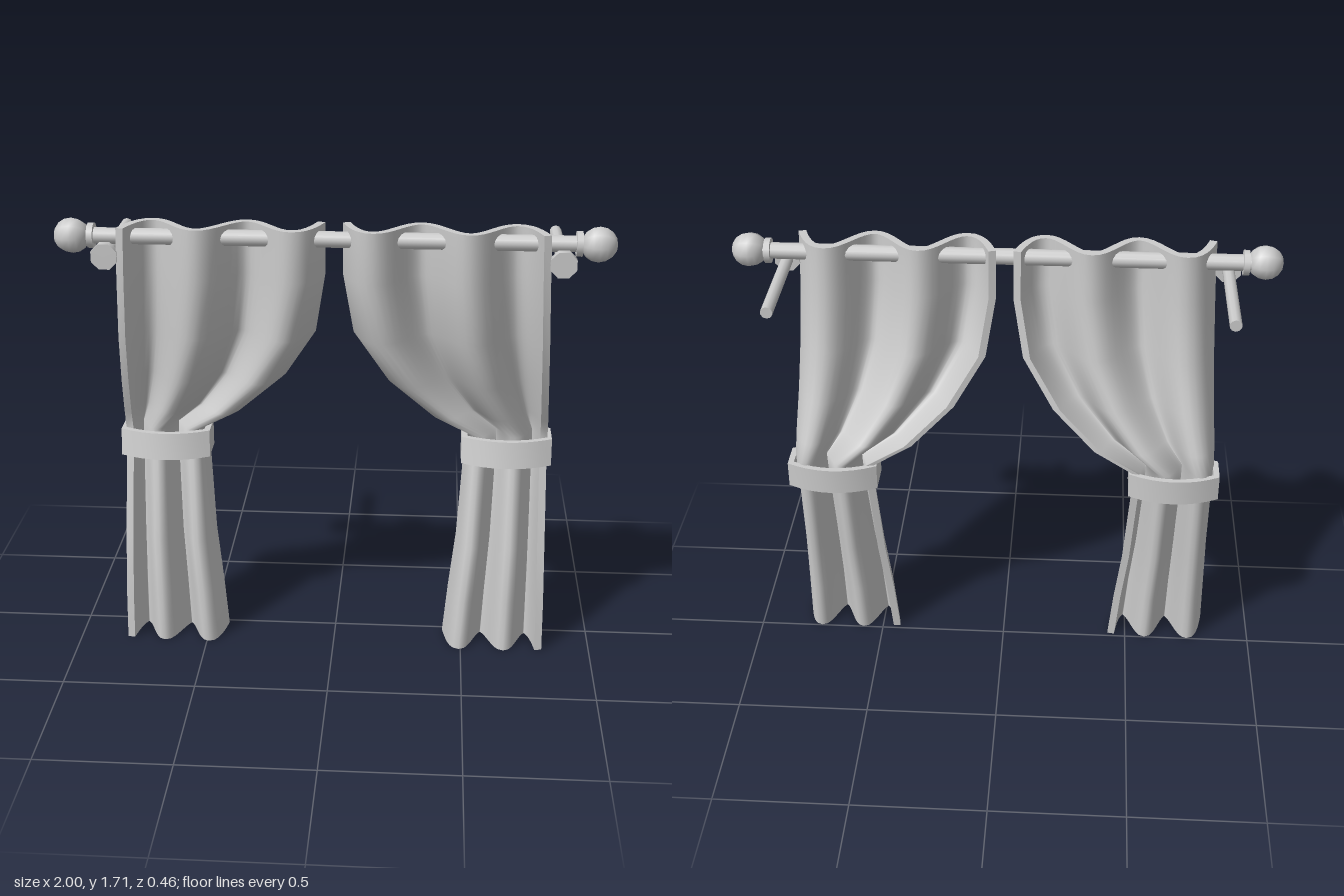
import * as THREE from 'three';
import { mergeGeometries, toCreasedNormals } from 'three/addons/utils/BufferGeometryUtils.js';

const grey = new THREE.MeshStandardMaterial({ color: 0xcccccc });

// Curtain rows from top to floor: [y, outer x, inner x, centre z, fold depth]
const ROWS = [
  [1.69, 0.75, 0.045, 0.148, 0.066], [1.5, 0.757, 0.045, 0.146, 0.066],
  [1.27, 0.768, 0.083, 0.118, 0.065], [1.08, 0.778, 0.2, 0.062, 0.062],
  [0.93, 0.787, 0.36, 0.004, 0.054], [0.85, 0.79, 0.505, -0.022, 0.046],
  [0.75, 0.79, 0.505, -0.005, 0.05], [0.42, 0.795, 0.485, 0.052, 0.066],
  [0.2, 0.8, 0.46, 0.075, 0.069], [0, 0.803, 0.442, 0.085, 0.069],
];
const FOLDS = [0, 0.14, 0.38, 0.62, 0.86, 1]; // crests and troughs across the width
const STEPS = 8;
const HALF = 0.014; // half the cloth thickness

function add(parent, name, geometry, x = 0, y = 0, z = 0) {
  const mesh = new THREE.Mesh(geometry, grey);
  mesh.name = name;
  mesh.position.set(x, y, z);
  parent.add(mesh);
  return mesh;
}

// Smooth surface through rows of points; flip reverses its facing
function sheet(rows, flip) {
  const n = rows[0].length, index = [];
  for (let r = 0; r < rows.length - 1; r++) {
    for (let i = 0; i < n - 1; i++) {
      const a = r * n + i, b = a + 1, c = a + n, d = c + 1;
      index.push(...(flip ? [a, b, c, b, d, c] : [a, c, b, b, c, d]));
    }
  }
  const g = new THREE.BufferGeometry();
  g.setAttribute('position', new THREE.Float32BufferAttribute(rows.flat(2), 3));
  g.setIndex(index);
  g.computeVertexNormals();
  return g;
}

// Fold line as [u, wave], with steeper half folds at both ends
function foldLine() {
  const pts = [];
  for (let k = 0; k < 5; k++) {
    for (let i = k ? 1 : 0; i <= STEPS; i++) {
      const t = i / STEPS;
      const e = k === 0 ? t * t : k === 4 ? 1 - (1 - t) ** 2 : t;
      pts.push([FOLDS[k] + (FOLDS[k + 1] - FOLDS[k]) * e, Math.cos(Math.PI * (k + t))]);
    }
  }
  return pts;
}

// Thick pleated panel; side is -1 or 1
function curtain(side) {
  const line = foldLine(), front = [], back = [];
  for (const [y, outer, inner, zc, depth] of ROWS) {
    const pts = line.map(([u, w]) => [-outer + (outer - inner) * u, zc + depth * w]);
    const f = [], b = [];
    pts.forEach(([x, z], i) => {
      const p = pts[Math.max(i - 1, 0)], q = pts[Math.min(i + 1, pts.length - 1)];
      const dx = q[0] - p[0], dz = q[1] - p[1], s = HALF / Math.hypot(dx, dz);
      f.push([-side * (x - dz * s), y, z + dx * s]);
      b.push([-side * (x + dz * s), y, z - dx * s]);
    });
    front.push(f);
    back.push(b);
  }
  const m = side > 0, last = ROWS.length - 1, end = line.length - 1;
  return mergeGeometries([
    sheet(front, m),
    sheet(back, !m),
    sheet([back[0], front[0]], m), // top hem
    sheet([front[last], back[last]], m), // bottom hem
    sheet(front.map((f, r) => [back[r][0], f[0]]), m), // outer edge
    sheet(front.map((f, r) => [f[end], back[r][end]]), m), // inner edge
  ]);
}

// Closed outline of the tieback: straight ends, bowed front and back
function bandOutline(path, inset) {
  const w = 0.17 - inset, f = -0.05 + inset * 0.6, b = 0.07 - inset * 0.6;
  path.moveTo(-w, f);
  path.quadraticCurveTo(0, -0.14 + inset * 1.4, w, f);
  path.lineTo(w, b);
  path.quadraticCurveTo(0, 0.16 - inset * 1.4, -w, b);
  path.closePath();
  return path;
}

function tieback() {
  const shape = bandOutline(new THREE.Shape(), 0);
  shape.holes.push(bandOutline(new THREE.Path(), 0.022));
  const g = new THREE.ExtrudeGeometry(shape, { depth: 0.1, bevelEnabled: false, curveSegments: 8 });
  g.rotateX(-Math.PI / 2);
  // the front leans back towards the top
  const p = g.attributes.position;
  for (let i = 0; i < p.count; i++) {
    if (p.getZ(i) > 0) p.setZ(i, p.getZ(i) + 0.008 - p.getY(i) * 0.2);
  }
  return toCreasedNormals(g, 0.6);
}

export function createModel() {
  const model = new THREE.Group();
  model.name = 'curtains';

  add(model, 'rod', new THREE.CylinderGeometry(0.03, 0.03, 1.78, 12).rotateZ(Math.PI / 2), 0, 1.642, 0.14);

  for (const side of [-1, 1]) {
    const name = side > 0 ? 'left' : 'right';
    add(model, name + 'Curtain', curtain(side));
    add(model, name + 'Tieback', tieback(), side * 0.65, 0.75, 0);

    // Rod end
    add(model, name + 'Collar', new THREE.CylinderGeometry(0.046, 0.046, 0.022, 12).rotateZ(Math.PI / 2),
      side * 0.866, 1.642, 0.14);
    add(model, name + 'Finial', new THREE.SphereGeometry(0.065, 8, 8).rotateZ(Math.PI / 2),
      side * 0.935, 1.642, 0.145);

    // Wall bracket
    add(model, name + 'BracketArm', new THREE.CylinderGeometry(0.022, 0.022, 0.43, 10).rotateX(Math.PI / 2),
      side * 0.81, 1.583, -0.015);
    add(model, name + 'BracketDisc',
      new THREE.CylinderGeometry(0.05, 0.05, 0.03, 8).rotateY(Math.PI / 8).rotateX(Math.PI / 2),
      side * 0.81, 1.585, 0.203);
  }
  return model;
}
